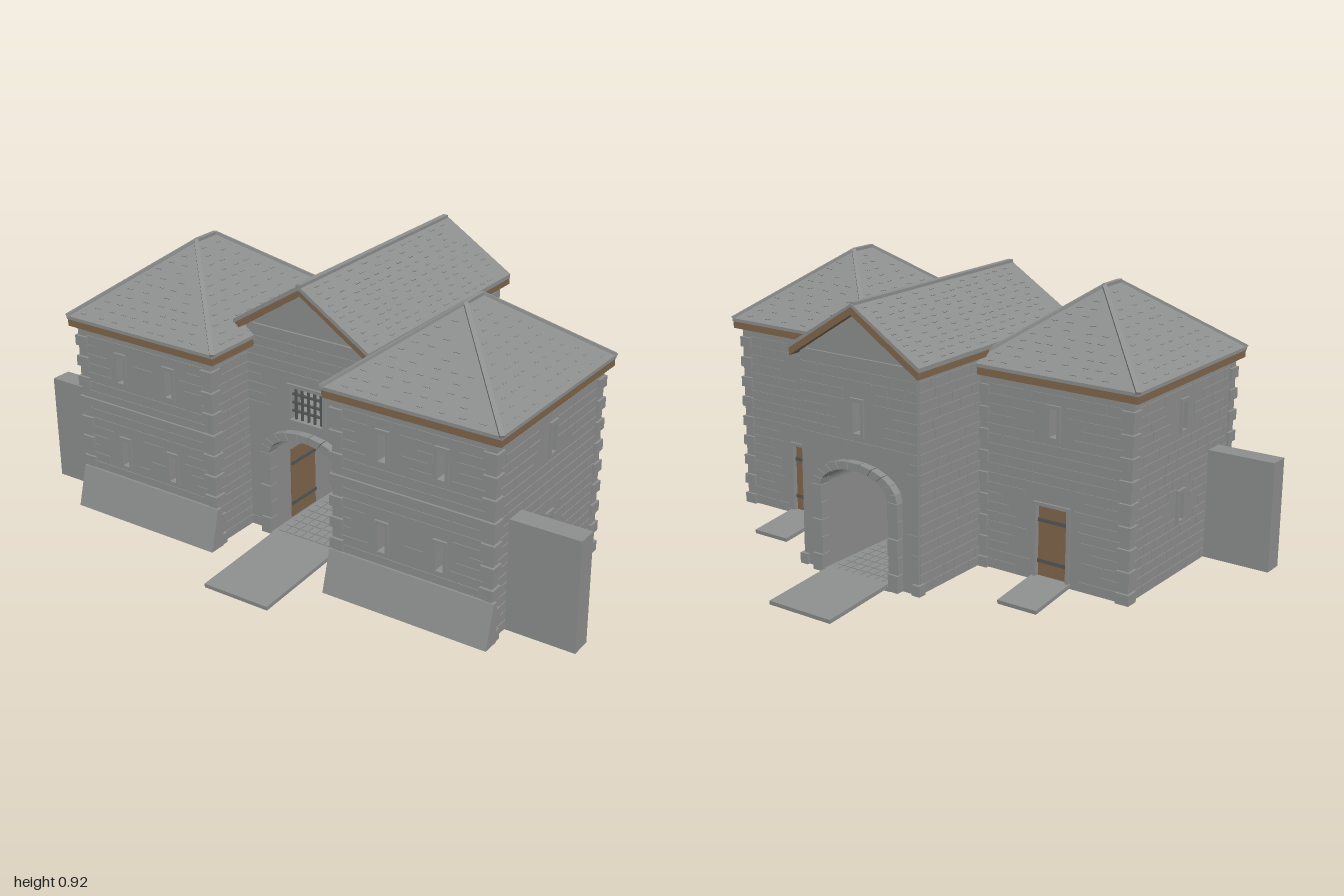
import * as THREE from 'three';
import { mergeGeometries } from 'three/addons/utils/BufferGeometryUtils.js';

const V = (x, y, z) => new THREE.Vector3(x, y, z);
const mats = {};
for (const [name, color] of [['stone', 0x8d8f8e], ['slate', 0x8d8f8e], ['wood', 0x80664b], ['darkWood', 0x5f4a36], ['iron', 0x555857]]) {
  mats[name] = new THREE.MeshStandardMaterial({ color });
  mats[name].name = name;
}
let seed = 7;
const rnd = () => (seed = (seed * 16807) % 2147483647) / 2147483647;

function add(parent, name, geo, mat) {
  const m = new THREE.Mesh(geo, mats[mat]);
  m.name = name;
  parent.add(m);
  return m;
}
// Box geometry given by its minimum and maximum corners
const box = (x0, x1, y0, y1, z0, z1) =>
  new THREE.BoxGeometry(x1 - x0, y1 - y0, z1 - z0).translate((x0 + x1) / 2, (y0 + y1) / 2, (z0 + z1) / 2);
const extrude = (shape, depth, z0) =>
  new THREE.ExtrudeGeometry(shape, { depth, bevelEnabled: false, curveSegments: 16 }).translate(0, 0, z0);
const poly = (pts) => new THREE.Shape(pts.map(p => new THREE.Vector2(...p)));
// Square bar between two points
function bar(a, b, w, h = w) {
  const o = new THREE.Object3D();
  o.position.copy(a).lerp(b, 0.5);
  o.lookAt(b);
  o.updateMatrix();
  return new THREE.BoxGeometry(w, h, a.distanceTo(b)).applyMatrix4(o.matrix);
}

// Staggered, slightly raised masonry, leaving out the openings [x, y0, y1, width]
function masonry(x0, x1, y0, y1, holes) {
  const list = [], h = 0.032;
  for (let y = y0; y + h <= y1 + 0.001; y += h) {
    for (let x = x0; x < x1 - 0.02;) {
      const e = Math.min(x + 0.05 + rnd() * 0.08, x1);
      if (!holes.some(([c, b, t, w]) => e > c - w / 2 - 0.012 && x < c + w / 2 + 0.012 && y + h > b - 0.012 && y < t + 0.012))
        list.push(box(x + 0.002, e - 0.002, y + 0.002, y + h - 0.002, -0.003, 0.0025));
      x = e;
    }
  }
  return mergeGeometries(list);
}
// Wall whose outer face lies on local z = 0, with framed window openings
function wall(parent, name, pos, rot, x0, x1, top, holes = [], outline = null, skip = [], masonryTop = top) {
  const g = new THREE.Group();
  g.name = name;
  g.position.copy(pos);
  g.rotation.y = rot;
  const s = outline || poly([[x0, 0.02], [x1, 0.02], [x1, top], [x0, top]]);
  for (const [c, b, t, w] of holes) {
    const l = c - w / 2, r = c + w / 2;
    s.holes.push(new THREE.Path([[l, b], [l, t], [r, t], [r, b]].map(p => new THREE.Vector2(...p))));
    const f = 0.011;
    add(g, 'openingFrame', mergeGeometries([
      box(l - f, l, b - f, t + f, -0.02, 0.008), box(r, r + f, b - f, t + f, -0.02, 0.008),
      box(l, r, t, t + f, -0.02, 0.008), box(l, r, b - f, b, -0.02, 0.008)]), 'stone');
  }
  add(g, 'wallBody', extrude(s, 0.05, -0.05), 'stone');
  add(g, 'masonry', masonry(x0, x1, 0.022, masonryTop, holes.concat(skip)), 'stone');
  parent.add(g);
  return g;
}
// Thin slates scattered in rows over a roof face: a-b is the eave, d-c the top edge
function slates(parent, a, b, c, d) {
  const list = [], ex = b.clone().sub(a).normalize();
  const n = ex.clone().cross(d.clone().sub(a)).normalize(), ez = ex.clone().cross(n);
  for (let t = 0.06; t < 0.95; t += 0.085) {
    const p = a.clone().lerp(d, t), q = b.clone().lerp(c, t), len = p.distanceTo(q);
    for (let s = 0.03 + rnd() * 0.03; s < len - 0.04; s += 0.04 + rnd() * 0.05) {
      const m = new THREE.Matrix4().makeBasis(ex, n, ez).setPosition(p.clone().addScaledVector(ex, s));
      list.push(new THREE.BoxGeometry(0.022, 0.004, 0.006).applyMatrix4(m));
    }
  }
  add(parent, 'slateEdges', mergeGeometries(list), 'slate');
}
// Plank door lying on local z = 0
function door(parent, x, y0, y1, w) {
  for (let i = 0; i < 4; i++)
    add(parent, 'doorPlank', box(x - w / 2 + i * w / 4 + 0.001, x - w / 2 + (i + 1) * w / 4 - 0.001, y0, y1, -0.022, -0.008), 'wood');
  for (const y of [y0 + 0.05, y1 - 0.05]) add(parent, 'doorHinge', box(x - w / 2, x + w / 2, y - 0.006, y + 0.006, -0.01, -0.004), 'iron');
}
// Sloping slab running from z0 (high) to z1 (low)
function ramp(parent, name, w, z0, z1) {
  add(parent, name, bar(V(0, 0.03, z0), V(0, 0.008, z1), w, 0.013), 'stone');
}

function tower() {
  const g = new THREE.Group();
  const slit = (x) => [[x, 0.2, 0.29, 0.026], [x, 0.495, 0.585, 0.026]];
  wall(g, 'frontWall', V(0, 0, 0.52), 0, -0.27, 0.27, 0.66, [...slit(-0.1), ...slit(0.1)]);
  wall(g, 'leftWall', V(0.27, 0, 0), Math.PI / 2, -0.518, 0.118, 0.66, slit(-0.19));
  wall(g, 'rightWall', V(-0.27, 0, 0), -Math.PI / 2, -0.118, 0.518, 0.66, slit(0.19));
  const back = wall(g, 'backWall', V(0, 0, -0.12), Math.PI, -0.27, 0.27, 0.66, [[0, 0.035, 0.27, 0.11], [0, 0.495, 0.585, 0.026]]);
  door(back, 0, 0.035, 0.27, 0.11);
  add(g, 'stringCourse', box(-0.272, 0.272, 0.39, 0.41, 0.515, 0.53), 'stone');
  add(g, 'batteredBase', extrude(poly([[-0.51, 0.02], [-0.51, 0.155], [-0.53, 0.155], [-0.568, 0.02]]), 0.57, -0.285).rotateY(Math.PI / 2), 'stone');
  // Corner stones, alternately long on each side
  const q = [];
  for (const sx of [-1, 1]) for (const sz of [-1, 1]) for (let i = 0; i < 18; i++) {
    const p = i % 2 ? 0.005 : 0.012, lx = i % 2 ? 0.032 : 0.046, lz = i % 2 ? 0.032 : 0.046;
    const x = sx * (0.27 + p), z = 0.2 + sz * (0.32 + p), y = 0.02 + i * 0.0356;
    const x2 = x - sx * lx, z2 = z - sz * lz;
    q.push(box(Math.min(x, x2), Math.max(x, x2), y, y + 0.0346, Math.min(z, z2), Math.max(z, z2)));
  }
  add(g, 'cornerStones', mergeGeometries(q), 'stone');
  // Hipped roof
  add(g, 'eaveFascia', box(-0.298, 0.298, 0.655, 0.679, -0.145, 0.542), 'wood');
  add(g, 'eaveSlates', box(-0.3, 0.3, 0.679, 0.69, -0.148, 0.545), 'slate');
  const c = [V(-0.3, 0.69, 0.545), V(0.3, 0.69, 0.545), V(0.3, 0.69, -0.148), V(-0.3, 0.69, -0.148)];
  const f = V(0, 0.917, 0.245), b = V(0, 0.917, 0.15);
  const faces = [[c[0], c[1], f, f], [c[1], c[2], b, f], [c[2], c[3], b, b], [c[3], c[0], f, b]];
  const pts = [];
  for (const [p, q2, r, s] of faces) {
    pts.push(p, q2, r);
    if (r !== s) pts.push(p, r, s);
    slates(g, p, q2, r, s);
  }
  const roof = new THREE.BufferGeometry().setFromPoints(pts);
  roof.computeVertexNormals();
  add(g, 'hippedRoof', roof, 'slate');
  add(g, 'hipCaps', mergeGeometries([[c[0], f], [c[1], f], [c[2], b], [c[3], b], [f, b]].map(([p, r]) => bar(p, r, 0.014, 0.01))), 'slate');
  // Upper floor, posts and stair
  add(g, 'upperFloor', box(-0.225, 0.225, 0.37, 0.39, -0.075, 0.475), 'stone');
  for (const x of [-0.12, 0.12]) for (const z of [0.05, 0.35]) add(g, 'post', box(x - 0.01, x + 0.01, 0.02, 0.37, z - 0.01, z + 0.01), 'wood');
  for (const x of [0.0, 0.09]) add(g, 'stairString', bar(V(x, 0.03, 0.4), V(x, 0.36, 0.08), 0.012, 0.03), 'wood');
  for (let i = 0; i < 10; i++) {
    const t = (i + 0.5) / 10, y = 0.03 + 0.33 * t, z = 0.4 - 0.32 * t;
    add(g, 'stairTread', box(0, 0.09, y - 0.004, y + 0.004, z - 0.018, z + 0.018), 'darkWood');
  }
  const r = new THREE.Group();
  r.rotation.y = Math.PI;
  r.position.z = -0.12;
  ramp(r, 'doorRamp', 0.14, 0.0, 0.19);
  g.add(r);
  return g;
}

// Outline with the carriage arch cut out of its foot
function archShape(w, upper) {
  const s = new THREE.Shape();
  s.moveTo(-w, 0.02).lineTo(-0.135, 0.02).lineTo(-0.135, 0.31);
  s.absellipse(0, 0.31, 0.135, 0.075, Math.PI, 0, true);
  s.lineTo(0.135, 0.02).lineTo(w, 0.02);
  upper.forEach(p => s.lineTo(...p));
  return s;
}
function archSurround(parent) {
  const N = 11, at = (a, rx, ry) => [rx * Math.cos(a), 0.31 + ry * Math.sin(a)];
  for (let i = 0; i < N; i++) {
    const a = Math.PI * i / N + 0.008, b = Math.PI * (i + 1) / N - 0.008;
    add(parent, 'voussoir', extrude(poly([at(a, 0.133, 0.073), at(a, 0.17, 0.098), at(b, 0.17, 0.098), at(b, 0.133, 0.073)]), 0.04, -0.012), 'stone');
  }
  for (const s of [-1, 1]) for (let i = 0; i < 5; i++)
    add(parent, 'jambStone', box(s > 0 ? 0.132 : -0.17, s > 0 ? 0.17 : -0.132, 0.021 + i * 0.058, 0.077 + i * 0.058, -0.012, i % 2 ? 0.024 : 0.028), 'stone');
}
const chevron = (x, eave, ridge, t) => poly([[-x, eave - t], [0, ridge - t], [x, eave - t], [x, eave], [0, ridge], [-x, eave]]);

function gatehouse() {
  const g = new THREE.Group();
  g.name = 'gatehouse';
  const gable = [[0.23, 0.72], [0, 0.875], [-0.23, 0.72]], skip = [[0, 0, 0.4, 0.33]];
  const front = wall(g, 'frontWall', V(0, 0, 0.34), 0, -0.23, 0.23, 0.72, [[0, 0.44, 0.55, 0.125]], archShape(0.23, gable), skip);
  const back = wall(g, 'backWall', V(0, 0, -0.44), Math.PI, -0.23, 0.23, 0.72, [[0, 0.495, 0.595, 0.03]], archShape(0.23, gable), skip);
  [front, back].forEach(w => {
    archSurround(w);
    add(w, 'gableLedge', box(-0.2, 0.2, 0.722, 0.734, -0.01, 0.008), 'stone');
  });
  // Iron window grille
  for (let i = -2; i <= 2; i++) add(front, 'grilleBar', box(i * 0.024 - 0.003, i * 0.024 + 0.003, 0.44, 0.55, -0.012, -0.004), 'iron');
  for (const y of [0.467, 0.495, 0.523]) add(front, 'grilleBar', box(-0.062, 0.062, y - 0.003, y + 0.003, -0.014, -0.005), 'iron');
  wall(g, 'leftWall', V(0.23, 0, 0), Math.PI / 2, -0.335, 0.435, 0.735);
  wall(g, 'rightWall', V(-0.23, 0, 0), -Math.PI / 2, -0.435, 0.335, 0.735);
  add(g, 'vaultedPassage', extrude(archShape(0.2, [[0.2, 0.43], [-0.2, 0.43]]), 0.7, -0.4), 'stone');
  // Passage doors
  for (const s of [-1, 1]) {
    const d = new THREE.Group();
    d.name = 'passageDoor';
    d.position.set(s * 0.122, 0, 0.19);
    d.rotation.y = -s * Math.PI / 2;
    door(d, 0, 0.035, 0.28, 0.13);
    g.add(d);
  }
  // Paved floor
  add(g, 'passageFloor', box(-0.132, 0.132, 0.015, 0.03, -0.46, 0.37), 'stone');
  const paving = [];
  for (let i = 0; i < 8; i++) for (let k = 0; k < 20; k++)
    for (const y of [0.03, 0.0145]) paving.push(box(-0.12 + i * 0.03 + 0.002, -0.09 + i * 0.03 - 0.002, y - 0.0015, y + 0.003, -0.45 + k * 0.04, -0.414 + k * 0.04));
  add(g, 'pavingStones', mergeGeometries(paving), 'stone');
  // Gabled roof
  add(g, 'roofBoards', extrude(chevron(0.25, 0.732, 0.893, 0.024), 0.837, -0.467), 'wood');
  add(g, 'roofSlates', extrude(chevron(0.253, 0.744, 0.903, 0.014), 0.84, -0.465), 'slate');
  add(g, 'ridgeCap', box(-0.009, 0.009, 0.895, 0.907, -0.46, 0.375), 'slate');
  const e = 0.744, t = 0.903;
  slates(g, V(0.253, e, 0.37), V(0.253, e, -0.46), V(0, t, -0.46), V(0, t, 0.37));
  slates(g, V(-0.253, e, -0.46), V(-0.253, e, 0.37), V(0, t, 0.37), V(0, t, -0.46));
  for (const s of [-1, 1]) add(g, 'footStone', box(s * 0.225 - 0.015, s * 0.225 + 0.015, 0.02, 0.055, -0.45, -0.42), 'stone');
  ramp(g, 'frontRamp', 0.24, 0.36, 0.72);
  ramp(g, 'backRamp', 0.24, -0.45, -0.727);
  return g;
}

export function createModel() {
  const model = new THREE.Group();
  model.name = 'fortifiedGate';
  model.add(gatehouse());
  for (const s of [-1, 1]) {
    const t = tower();
    t.name = s > 0 ? 'leftTower' : 'rightTower';
    t.position.x = s * 0.5;
    model.add(t);
    add(model, 'curtainWall', box(s > 0 ? 0.765 : -1, s > 0 ? 1 : -0.765, 0.02, 0.383, 0.365, 0.435), 'stone');
  }
  return model;
}
